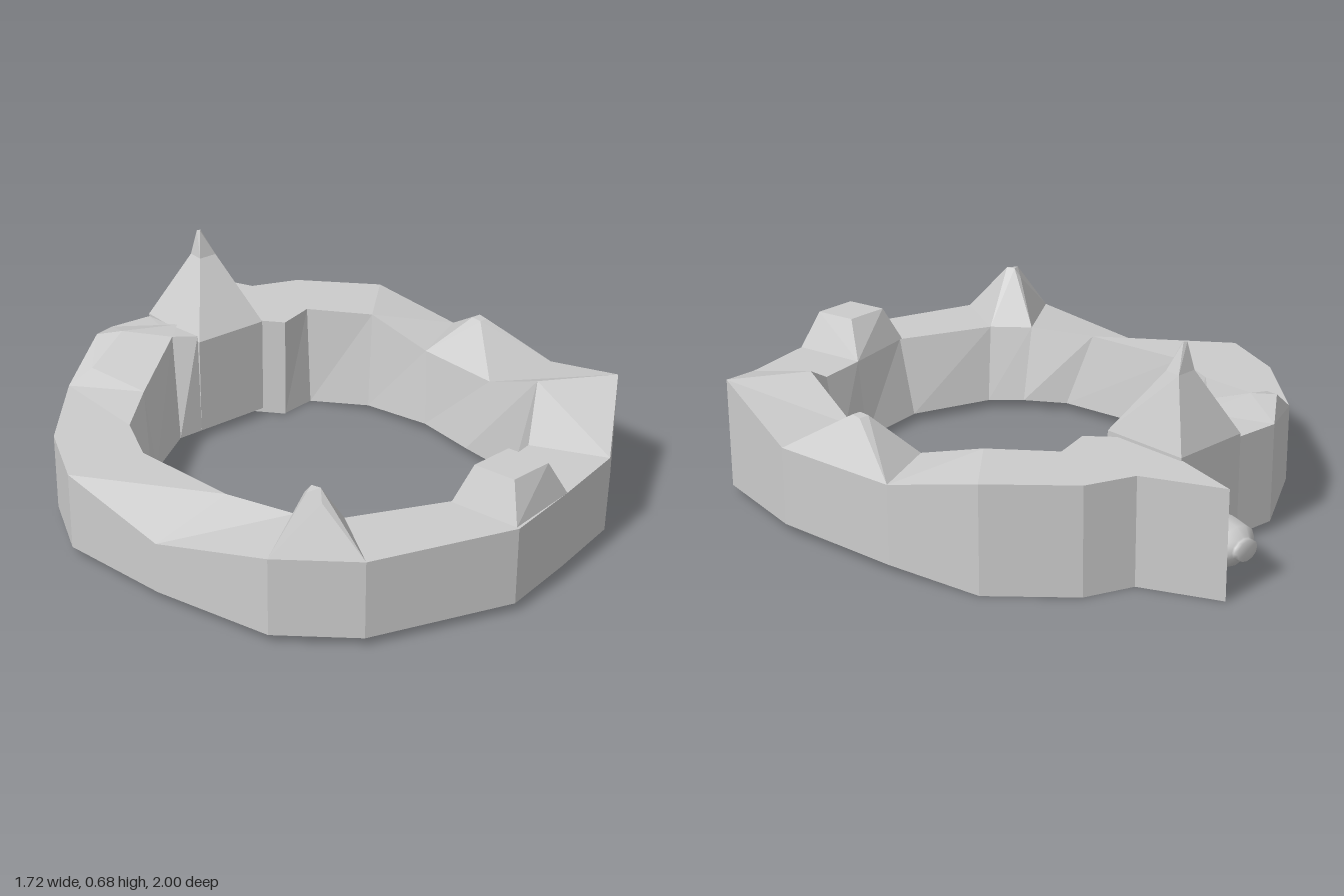
import * as THREE from 'three';
import { ConvexGeometry } from 'three/addons/geometries/ConvexGeometry.js';

const material = new THREE.MeshStandardMaterial({ color: 0xcccccc, flatShading: true, side: THREE.DoubleSide });
const smooth = new THREE.MeshStandardMaterial({ color: 0xcccccc, side: THREE.DoubleSide });

function add(group, name, geometry, mat = material) {
  const mesh = new THREE.Mesh(geometry, mat);
  mesh.name = name;
  group.add(mesh);
  return mesh;
}

// Faceted rock: convex hull of [x, y, z] corners
const rock = (points) => new ConvexGeometry(points.map((p) => new THREE.Vector3(...p)));

// Ring cross-sections: outer top x, y, z | inner top x, y, z | inner bottom x, z
const stations = [
  [-0.09, 0.36, -0.77, -0.09, 0.39, -0.48, -0.09, -0.47],
  [-0.24, 0.36, -0.78, -0.16, 0.39, -0.53, -0.18, -0.47],
  [-0.53, 0.29, -0.61, -0.37, 0.30, -0.40, -0.37, -0.34],
  [-0.76, 0.29, -0.34, -0.53, 0.29, -0.25, -0.50, -0.17],
  [-0.86, 0.29, -0.10, -0.60, 0.29, -0.07, -0.55, -0.02],
  [-0.80, 0.20, 0.28, -0.55, 0.29, 0.30, -0.49, 0.37],
  [-0.68, 0.29, 0.67, -0.46, 0.29, 0.52, -0.40, 0.50],
  [-0.47, 0.29, 0.86, -0.36, 0.29, 0.63, -0.31, 0.59],
  [0.00, 0.29, 1.00, -0.04, 0.29, 0.76, -0.03, 0.68],
  [0.26, 0.29, 0.94, 0.21, 0.29, 0.69, 0.23, 0.63],
  [0.52, 0.29, 0.87, 0.38, 0.29, 0.65, 0.39, 0.58],
  [0.80, 0.40, 0.63, 0.56, 0.40, 0.50, 0.54, 0.43],
  [0.86, 0.29, 0.27, 0.59, 0.29, 0.25, 0.54, 0.20],
  [0.81, 0.29, -0.17, 0.58, 0.29, -0.06, 0.55, -0.02],
  [0.72, 0.36, -0.47, 0.53, 0.36, -0.29, 0.50, -0.27],
  [0.51, 0.36, -0.69, 0.38, 0.36, -0.47, 0.38, -0.45],
  [0.35, 0.36, -0.75, 0.25, 0.36, -0.43, 0.25, -0.43],
];

function ringGeometry() {
  // The underside dips to the ground toward the back on the +x side
  const floor = (x, z) => (x > 0 ? 0.03 * THREE.MathUtils.clamp((z + 0.47) / 0.35, 0, 1) : 0.03);
  const rows = stations.map(([ox, oy, oz, ix, iy, iz, bx, bz]) => [
    [ox, floor(ox, oz), oz], [ox, oy, oz], [ix, iy, iz], [bx, floor(bx, bz), bz],
  ]);
  const pos = [];
  for (let i = 0; i < rows.length - 1; i++) {
    for (let k = 0; k < 4; k++) {
      const n = (k + 1) % 4;
      const a = rows[i][k], b = rows[i + 1][k], c = rows[i + 1][n], d = rows[i][n];
      pos.push(...a, ...b, ...c, ...a, ...c, ...d);
    }
  }
  const g = new THREE.BufferGeometry();
  g.setAttribute('position', new THREE.Float32BufferAttribute(pos, 3));
  g.computeVertexNormals();
  return g;
}

export function createModel() {
  const group = new THREE.Group();
  group.name = 'rockRing';

  add(group, 'ring', ringGeometry());

  // Jagged end of the ring beside the back block
  const end = new THREE.Shape([[0.35, 0.75], [0.23, 1.0], [0.17, 0.75], [0.18, 0.51], [0.25, 0.43]]
    .map(([x, y]) => new THREE.Vector2(x, y)));
  const endGeometry = new THREE.ExtrudeGeometry(end, { depth: 0.36, bevelEnabled: false });
  endGeometry.rotateX(-Math.PI / 2);
  add(group, 'jaggedEnd', endGeometry);

  // Back block rising to a tall spire
  const shoulder = [[0.04, 0.59, -0.69], [0.11, 0.59, -0.69], [0.105, 0.59, -0.635], [0.04, 0.59, -0.635]];
  const block = [];
  for (const x of [-0.09, 0.18]) {
    for (const z of [-0.77, -0.47]) block.push([x, 0.03, z], [x, 0.37, z]);
  }
  add(group, 'backBlock', rock([...block, ...shoulder]));
  add(group, 'spireTip', rock([...shoulder, [0.055, 0.68, -0.672], [0.068, 0.68, -0.668], [0.06, 0.68, -0.66]]));

  // Mound on the back right
  add(group, 'mound', rock([
    [-0.53, 0.29, -0.61], [-0.24, 0.36, -0.78], [-0.16, 0.39, -0.53], [-0.37, 0.30, -0.40],
    [-0.46, 0.35, -0.57], [-0.36, 0.40, -0.69], [-0.29, 0.41, -0.64], [-0.09, 0.39, -0.6],
  ]));

  // Block-topped bump at the front
  add(group, 'frontBump', rock([
    [0.0, 0.29, 0.99], [0.26, 0.29, 0.94], [0.21, 0.29, 0.69], [-0.05, 0.29, 0.76],
    [0.01, 0.41, 0.79], [0.16, 0.41, 0.78], [0.19, 0.41, 0.92], [0.04, 0.41, 0.93],
  ]));

  // Sharp peak at the front right: wide foot and narrow cap
  const neck = [[-0.555, 0.44, 0.68], [-0.52, 0.44, 0.72], [-0.485, 0.44, 0.67], [-0.52, 0.44, 0.64]];
  add(group, 'frontPeak', rock([
    [-0.68, 0.29, 0.67], [-0.47, 0.29, 0.86], [-0.36, 0.29, 0.63], [-0.46, 0.29, 0.52], ...neck,
    [-0.545, 0.465, 0.68], [-0.5, 0.47, 0.69], [-0.51, 0.47, 0.66],
  ]));

  // Low peak on the left side
  add(group, 'sidePeak', rock([
    [0.58, 0.29, -0.06], [0.81, 0.29, -0.17], [0.86, 0.29, 0.27], [0.59, 0.29, 0.25],
    [0.70, 0.42, 0.04], [0.735, 0.42, 0.04], [0.73, 0.42, 0.08], [0.70, 0.42, 0.08],
  ]));

  // Flattened jar lying under the back block, neck pointing backward
  const profile = [[0, 0], [0.09, 0], [0.1, 0.04], [0.1, 0.34], [0.085, 0.4], [0.05, 0.425],
    [0.045, 0.43], [0.045, 0.445], [0, 0.445]].map(([x, y]) => new THREE.Vector2(x, y));
  const jarGeometry = new THREE.LatheGeometry(profile, 12);
  jarGeometry.rotateX(-Math.PI / 2);
  const jar = add(group, 'jar', jarGeometry, smooth);
  jar.scale.y = 0.75;
  jar.position.set(0.07, 0.09, -0.5);

  return group;
}
